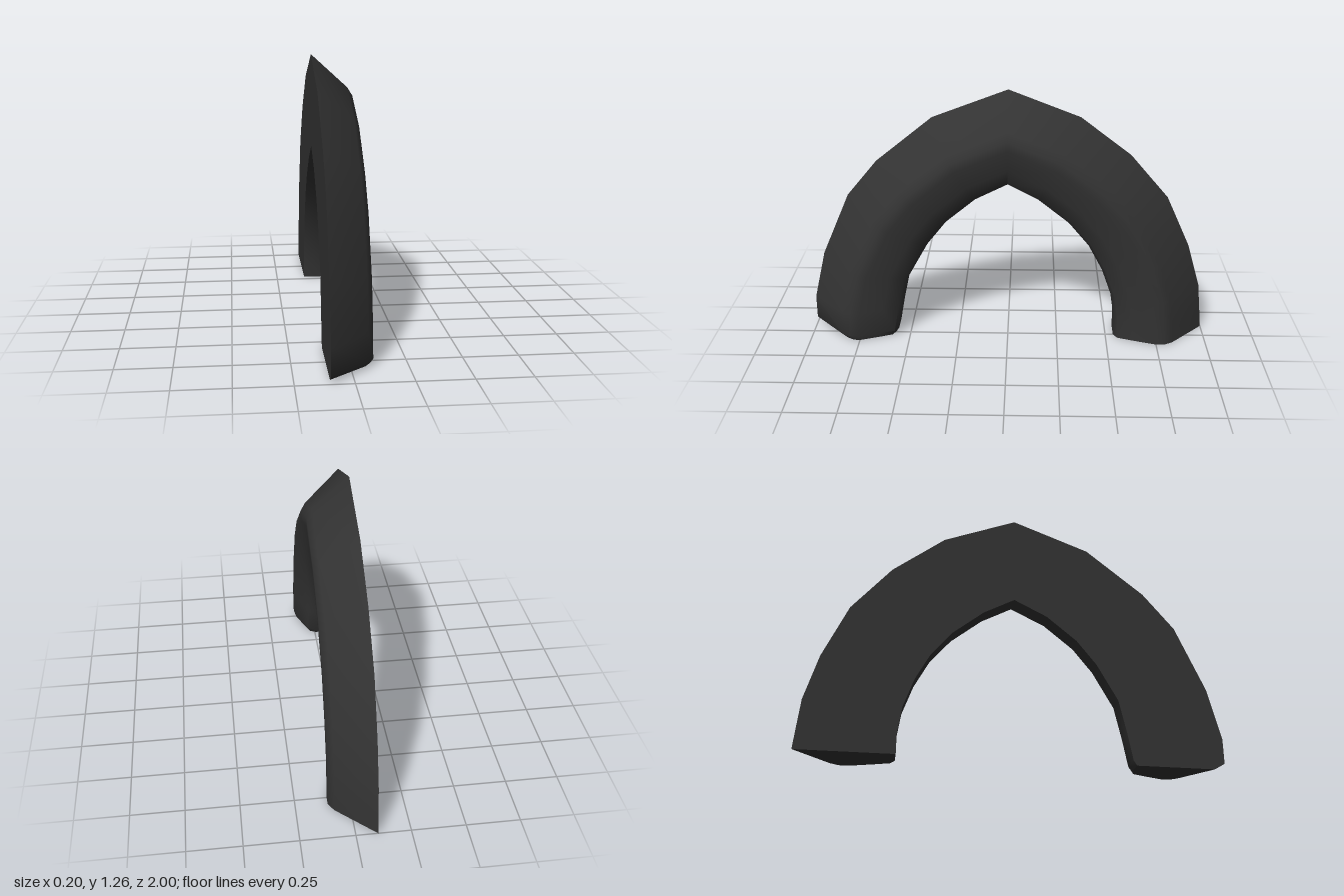
import * as THREE from 'three';
import { toCreasedNormals } from 'three/addons/utils/BufferGeometryUtils.js';

// Stations along the arch: [inner z, inner y, outer z, outer y, relief scale]
const STATIONS = [
  [0.575, 0, 0.95, 0, 0.94], [0.56, 0.025, 1, 0.03, 1], [0.535, 0.16, 1, 0.15, 1],
  [0.5, 0.32, 0.94, 0.4, 1], [0.4, 0.5, 0.8, 0.72, 1], [0.305, 0.62, 0.65, 0.9, 1],
  [0.16, 0.74, 0.37, 1.125, 1], [0, 0.82, 0, 1.265, 1], [-0.15, 0.74, -0.35, 1.13, 1],
  [-0.3, 0.62, -0.6, 0.94, 1], [-0.4, 0.5, -0.79, 0.72, 1], [-0.47, 0.37, -0.91, 0.46, 1],
  [-0.52, 0.23, -0.975, 0.24, 1], [-0.54, 0.1, -0.99, 0.1, 1], [-0.54, 0, -1, 0, 1],
];

// Cross-section: [fraction from inner to outer edge, x]
const SECTION = [
  [0, -0.1], [0, 0], [0.04, 0.035], [0.2, 0.062], [0.45, 0.1],
  [0.55, 0.1], [0.64, 0.075], [1, -0.1],
];

function archGeometry() {
  const n = SECTION.length;
  const positions = [];
  const indices = [];
  for (const [iz, iy, oz, oy, s] of STATIONS) {
    for (const [t, x] of SECTION) {
      positions.push(-0.1 + (x + 0.1) * s, iy + (oy - iy) * t, iz + (oz - iz) * t);
    }
  }
  // Skin between neighbouring sections, including the flat back
  for (let i = 0; i < STATIONS.length - 1; i++) {
    for (let j = 0; j < n; j++) {
      const a = i * n + j;
      const b = i * n + ((j + 1) % n);
      indices.push(a, a + n, b + n, a, b + n, b);
    }
  }
  // Feet
  const last = (STATIONS.length - 1) * n;
  for (let j = 1; j < n - 1; j++) {
    indices.push(0, j, j + 1, last, last + j + 1, last + j);
  }
  const geometry = new THREE.BufferGeometry();
  geometry.setAttribute('position', new THREE.Float32BufferAttribute(positions, 3));
  geometry.setIndex(indices);
  return toCreasedNormals(geometry, 0.8);
}

export function createModel() {
  const group = new THREE.Group();
  group.name = 'pointedArch';
  const arch = new THREE.Mesh(
    archGeometry(),
    new THREE.MeshStandardMaterial({ color: 0x333333 }),
  );
  arch.name = 'archMoulding';
  group.add(arch);
  return group;
}
